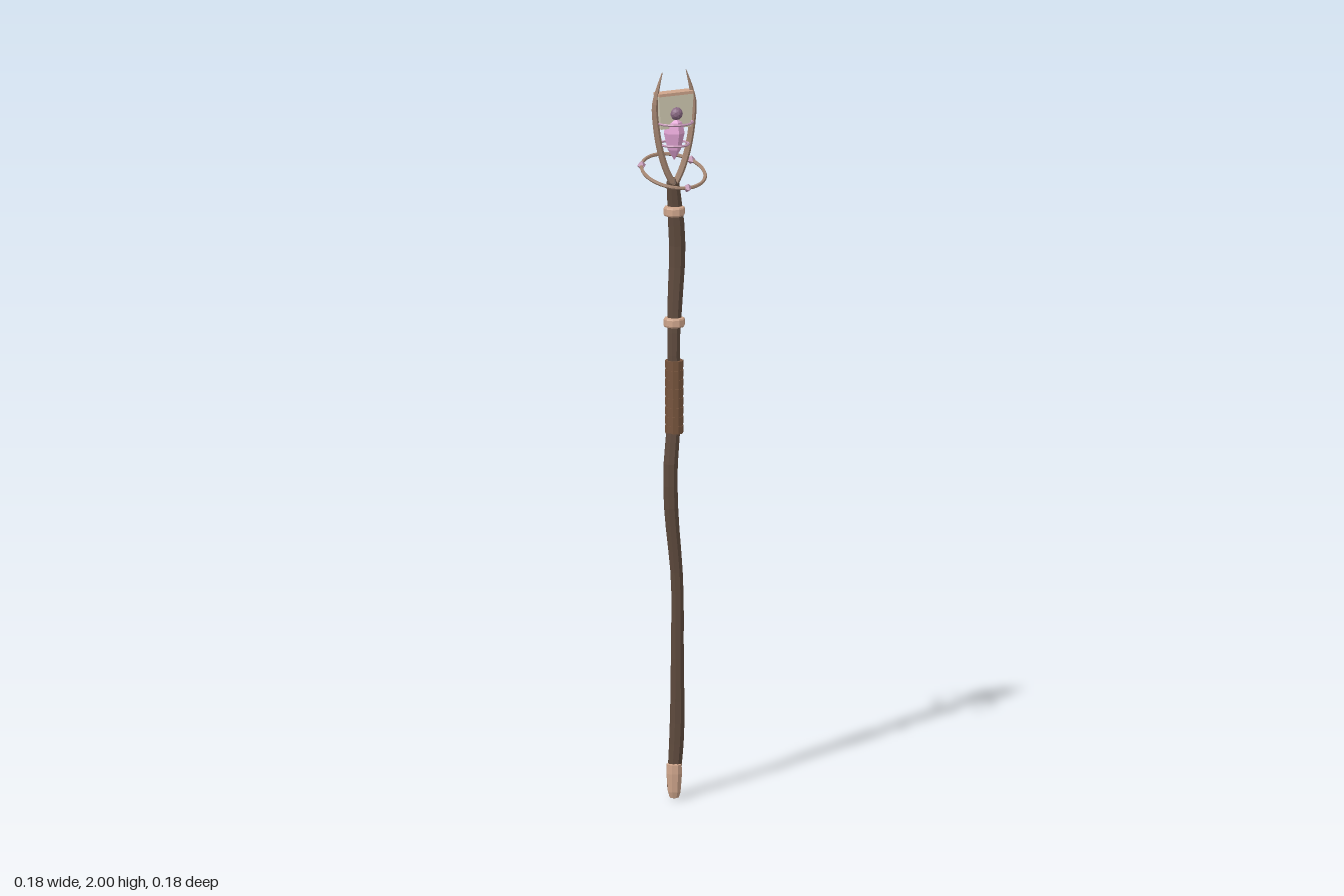
import * as THREE from 'three';

const mat = (color, extra = {}) => new THREE.MeshStandardMaterial({ color, flatShading: true, ...extra });
const WOOD = mat(0x5e4a3d), LEATHER = mat(0x76543d), BRONZE = mat(0xa58672), COPPER = mat(0xcfa68c);
const MAUVE = mat(0xc79ab8), PINK = mat(0xe6a8d8), DARK = mat(0x8a6a84);
const PANE = mat(0xd2cbb4);

export function createModel() {
  const model = new THREE.Group();

  function add(name, geometry, material, x = 0, y = 0, z = 0, parent = model) {
    const mesh = new THREE.Mesh(geometry, material);
    mesh.name = name;
    mesh.position.set(x, y, z);
    parent.add(mesh);
    return mesh;
  }

  // Tube through [x, y, z, radius] stations
  function taperedTube(stations, segments, sides) {
    const curve = new THREE.CatmullRomCurve3(stations.map(s => new THREE.Vector3(s[0], s[1], s[2])));
    const geometry = new THREE.TubeGeometry(curve, segments, 1, sides);
    const pos = geometry.attributes.position;
    const v = new THREE.Vector3();
    for (let i = 0; i <= segments; i++) {
      const centre = curve.getPointAt(i / segments);
      const t = curve.getUtoTmapping(i / segments) * (stations.length - 1);
      const k = Math.min(Math.floor(t), stations.length - 2);
      const radius = THREE.MathUtils.lerp(stations[k][3], stations[k + 1][3], t - k);
      for (let j = 0; j <= sides; j++) {
        const n = i * (sides + 1) + j;
        v.fromBufferAttribute(pos, n).sub(centre).multiplyScalar(radius).add(centre);
        pos.setXYZ(n, v.x, v.y, v.z);
      }
    }
    geometry.computeVertexNormals();
    return geometry;
  }

  const lathe = (points, sides) =>
    new THREE.LatheGeometry(points.map(p => new THREE.Vector2(p[0], p[1])), sides);

  // Crooked wooden shaft
  add('shaft', taperedTube([
    [0.002, 0.03, -0.009, 0.018], [0.013, 0.18, -0.009, 0.021], [0.009, 0.4, 0.001, 0.018],
    [0.005, 0.6, 0.007, 0.017], [-0.014, 0.8, 0.009, 0.02], [-0.015, 0.92, 0.008, 0.02],
    [0, 1.05, 0, 0.019], [-0.001, 1.25, -0.001, 0.017], [0.007, 1.36, -0.009, 0.021],
    [0.017, 1.5, -0.014, 0.023], [0.013, 1.58, -0.013, 0.023], [0, 1.695, -0.008, 0.018],
  ], 28, 8), WOOD);
  add('shaftTop', new THREE.CylinderGeometry(0.012, 0.018, 0.012, 8), WOOD, 0, 1.698, -0.007);

  // Metal foot
  add('footCap', lathe([[0, 0], [0.013, 0.004], [0.018, 0.02], [0.022, 0.07], [0.021, 0.095], [0, 0.096]], 8), COPPER);

  // Leather grip with shallow wrapped bands
  add('grip', new THREE.CylinderGeometry(0.0235, 0.0235, 0.2, 10), LEATHER, 0, 1.105, 0);
  for (let i = 0; i < 8; i++) {
    add('gripBand', new THREE.CylinderGeometry(0.0255, 0.0255, 0.019, 10), LEATHER, 0, 1.017 + i * 0.0255, 0);
  }

  // Collars
  for (const y of [1.31, 1.615]) {
    add('collar', lathe([[0, -0.012], [0.027, -0.012], [0.029, -0.008], [0.029, 0.008], [0.027, 0.012], [0, 0.012]], 10),
      COPPER, 0, y, 0);
  }

  // Pair of curved prongs
  for (const s of [-1, 1]) {
    add(s > 0 ? 'leftProng' : 'rightProng', taperedTube([
      [0, 1.685, 0, 0.009], [s * 0.022, 1.725, 0, 0.009], [s * 0.041, 1.78, 0, 0.009],
      [s * 0.053, 1.84, 0, 0.009], [s * 0.059, 1.91, 0, 0.008], [s * 0.05, 1.955, 0, 0.005],
      [s * 0.036, 2, 0, 0.001],
    ], 22, 6), BRONZE);
  }

  // Pane held between the prongs, with its top bar
  const paneShape = new THREE.Shape([
    new THREE.Vector2(-0.046, 1.845), new THREE.Vector2(0.046, 1.845),
    new THREE.Vector2(0.053, 1.935), new THREE.Vector2(-0.053, 1.935),
  ]);
  add('pane', new THREE.ExtrudeGeometry(paneShape, { depth: 0.03, bevelEnabled: false }), PANE, 0, 0, -0.018);
  add('topBar', new THREE.BoxGeometry(0.104, 0.008, 0.034), COPPER, 0, 1.939, -0.003);

  // Crystal, its orb and the rings about it
  add('crystal', lathe([[0, 1.755], [0.018, 1.785], [0.028, 1.83], [0.022, 1.86], [0, 1.885]], 6), PINK);
  add('orb', new THREE.IcosahedronGeometry(0.018, 1), DARK, 0, 1.885, 0.011);
  for (const [radius, y] of [[0.05, 1.86], [0.04, 1.8]]) {
    const ring = add('crystalRing', new THREE.TorusGeometry(radius, 0.0035, 5, 12), MAUVE, 0, y, 0);
    ring.rotation.x = Math.PI / 2;
  }

  // Tilted halo with three gems
  const halo = new THREE.Group();
  halo.name = 'halo';
  halo.position.set(0, 1.724, -0.005);
  halo.rotation.x = THREE.MathUtils.degToRad(21);
  model.add(halo);
  const hoop = add('haloRing', new THREE.TorusGeometry(0.087, 0.005, 6, 36), BRONZE, 0, 0, 0, halo);
  hoop.rotation.x = Math.PI / 2;
  for (let i = 0; i < 3; i++) {
    const a = Math.PI / 2 + i * Math.PI * 2 / 3;
    add('haloGem', new THREE.OctahedronGeometry(0.0135), MAUVE, 0.087 * Math.cos(a), 0, 0.087 * Math.sin(a), halo);
  }

  return model;
}
